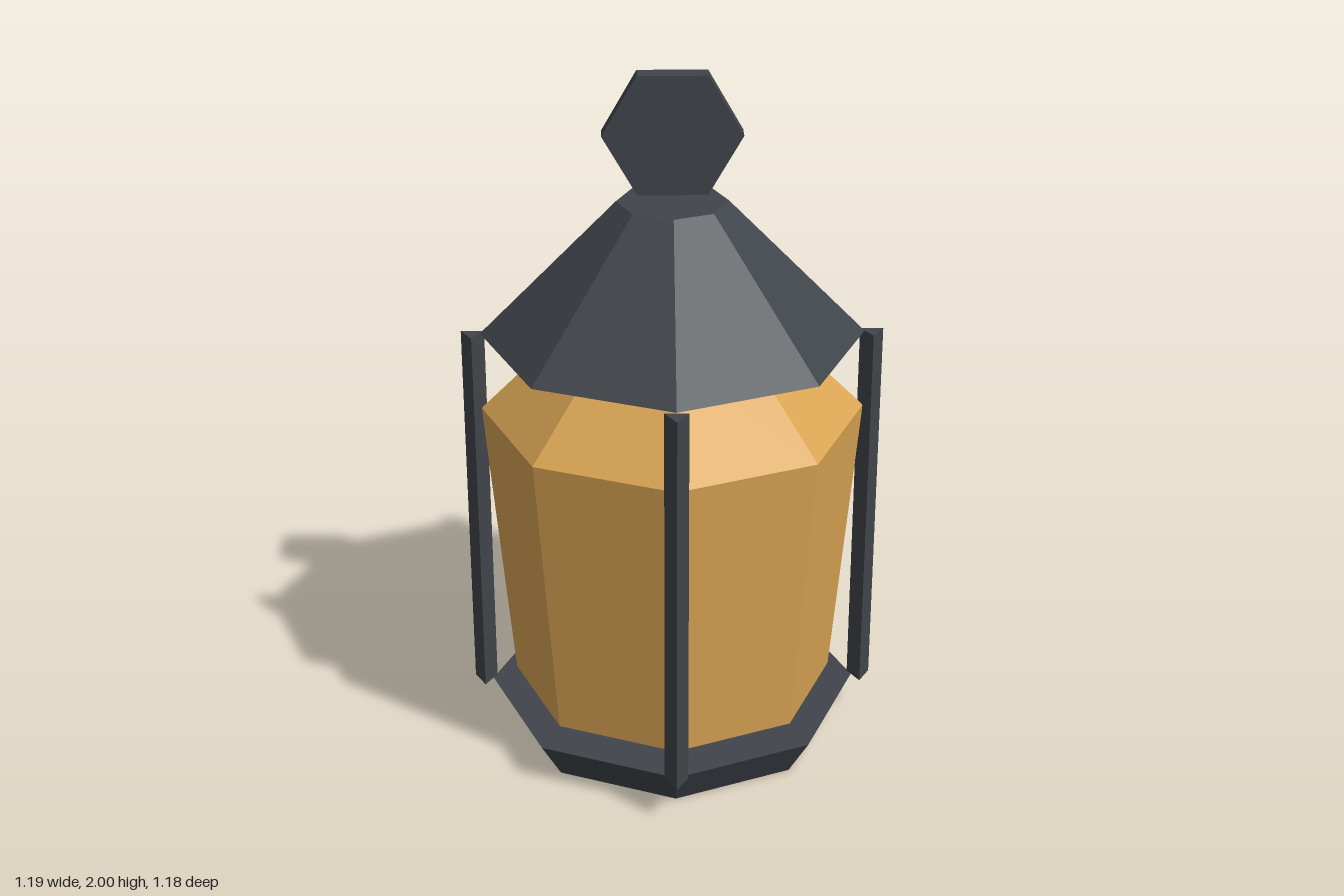
import * as THREE from 'three';

export function createModel() {
  const lantern = new THREE.Group();
  lantern.name = 'lantern';

  const iron = new THREE.MeshStandardMaterial({ color: 0x40454b, flatShading: true });
  iron.name = 'darkIron';
  const amber = new THREE.MeshStandardMaterial({ color: 0xd9a453, flatShading: true });
  amber.name = 'amberGlass';

  const centreZ = -0.011;

  // Closed prism or frustum standing between two heights
  function frustum(name, material, sides, bottom, top, y0, y1, x = 0, z = 0, openEnd = false) {
    const geometry = new THREE.CylinderGeometry(top, bottom, y1 - y0, sides, 1, openEnd);
    const mesh = new THREE.Mesh(geometry, material);
    mesh.name = name;
    mesh.position.set(x, (y0 + y1) / 2, centreZ + z);
    lantern.add(mesh);
    return mesh;
  }

  // Octagonal foot and roof
  frustum('base', iron, 8, 0.47, 0.542, 0, 0.12);
  frustum('roof', iron, 8, 0.542, 0.155, 1.25, 1.64);

  // Glass body with its sloping shoulder running up under the roof
  const profile = [[0, 0.16], [0.47, 0.16], [0.545, 1.02], [0.28, 1.28], [0, 1.28]];
  const glass = new THREE.Mesh(
    new THREE.LatheGeometry(profile.map(([r, y]) => new THREE.Vector2(r, y)), 8),
    amber
  );
  glass.name = 'glass';
  glass.position.z = centreZ;
  lantern.add(glass);

  // Four three-sided posts, all turned the same way
  const reach = 0.564;
  for (const [name, x, z] of [
    ['frontPost', 0, reach], ['backPost', 0, -reach],
    ['leftPost', reach, 0], ['rightPost', -reach, 0],
  ]) {
    frustum(name, iron, 3, 0.038, 0.038, 0.12, 1.25, x, z);
  }

  // Upright hexagonal hanging plate
  const plate = new THREE.CylinderGeometry(0.193, 0.193, 0.06, 6);
  plate.rotateY(Math.PI / 6).rotateX(Math.PI / 2);
  const handle = new THREE.Mesh(plate, iron);
  handle.name = 'handle';
  handle.position.set(0, 1.833, centreZ);
  lantern.add(handle);

  return lantern;
}
